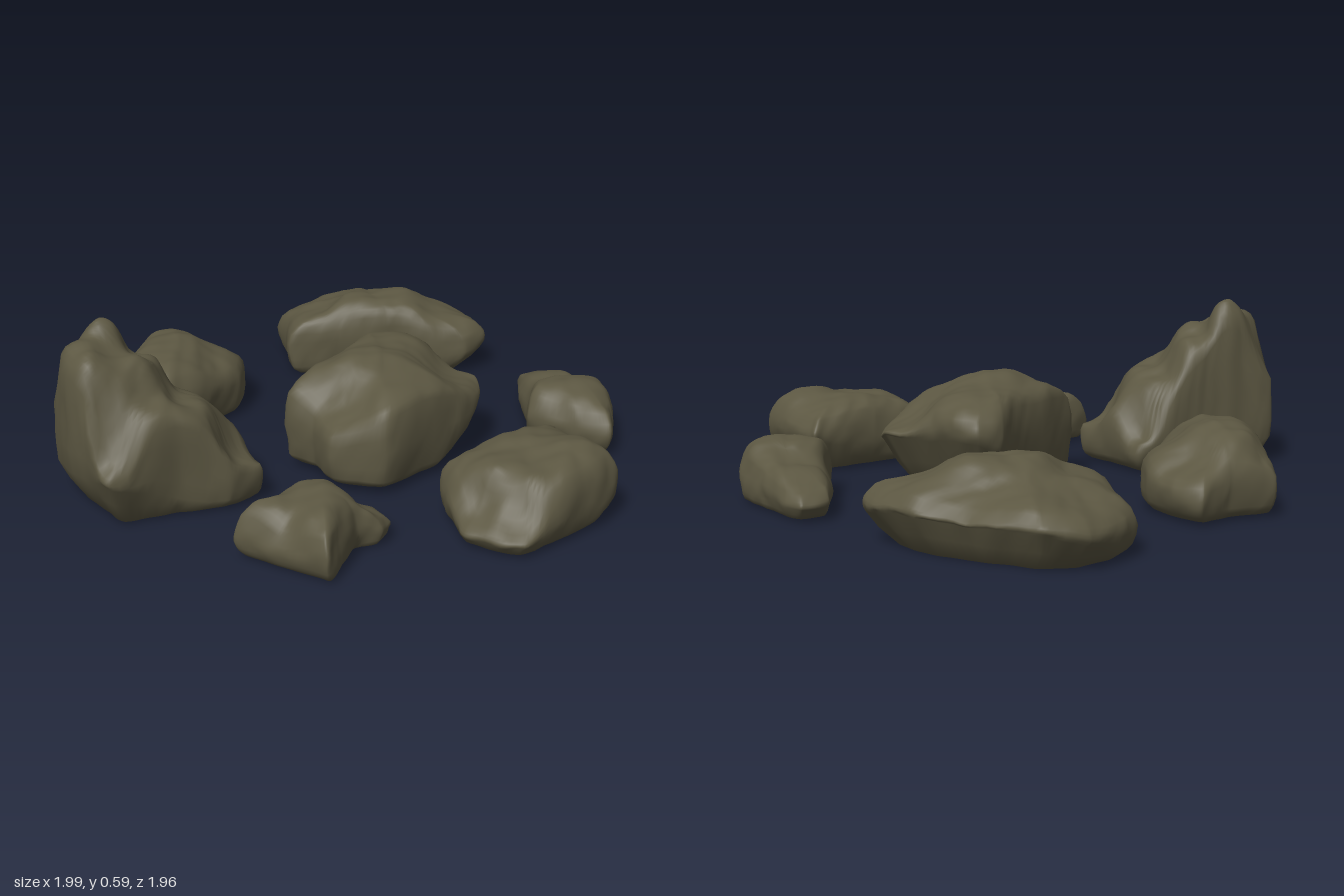
import * as THREE from 'three';

const SIDES = 120;

// Height at (x, z), blended from the crest points [x, z, height]
function crestHeight(crest, x, z) {
  let sum = 0, total = 0;
  for (const [px, pz, y] of crest) {
    const w = 1 / ((x - px) ** 2 + (z - pz) ** 2 + 0.0015) ** 1.6;
    sum += w * y;
    total += w;
  }
  return sum / total;
}

// Weathered unevenness, fading out towards the underside
function weather(p) {
  const { x, y, z } = p;
  const amount = 0.0075;
  const wave = (a, b, c, k) =>
    Math.sin(a * 17 + 2 * Math.sin(b * 13 + k)) * 0.4 + Math.sin(b * 29 + c * 23 + k) * 0.3
    + (Math.abs(Math.sin(c * 21 + a * 18 + k * 2)) - 0.6) * 0.5
    + Math.sin(a * 61 + 2 * Math.sin(c * 47 + k)) * Math.sin(b * 53 + k) * 0.3;
  p.x = THREE.MathUtils.clamp(x + amount * wave(y, z, x, 1), -1, 1);
  p.y = Math.max(0, y + amount * Math.min(1, y * 8) * wave(z, x, y, 3));
  p.z += amount * wave(x, y, z, 2);
}

// rim: outline [x, z], clockwise from above; shoulder: wall height as a share of
// the crest height; lean: how fast the underside rises along x from the middle
function makeRock(name, material, { rim, crest, shoulder, lean, base }) {
  const curve = new THREE.CatmullRomCurve3(
    rim.map(([x, z]) => new THREE.Vector3(x, 0, z)), true, 'catmullrom', 0.25);
  const outline = Array.from({ length: SIDES }, (_, i) => curve.getPoint(i / SIDES));
  const centre = new THREE.Box3().setFromPoints(outline).getCenter(new THREE.Vector3());
  const scaled = (p, s) => centre.clone().lerp(p, s);
  const rise = (p) => Math.max(0, (p.x - centre.x) * lean);
  const foot = (p) => 0.88 - 1.6 * rise(p);
  const wallBottom = (p) => base + 0.03 + rise(p);
  const wallTop = (p) => Math.max(wallBottom(p) + 0.02, shoulder * crestHeight(crest, p.x, p.z));

  // Loops across the underside, up the wall and over the crest
  const loops = [];
  for (const s of [0.001, 0.4, 0.8, 1]) loops.push((p) => scaled(p, s * foot(p)).setY(base));
  loops.push((p) => scaled(p, (1 + foot(p)) / 2).setY((base + wallBottom(p)) / 2));
  for (const t of [0, 0.25, 0.5, 0.75, 1]) {
    loops.push((p) => scaled(p, 1 - 0.03 * (2 * t - 1) ** 2)
      .setY(THREE.MathUtils.lerp(wallBottom(p), wallTop(p), t)));
  }
  for (let j = 1; j <= 16; j++) {
    const s = Math.max(0.001, 0.97 * (1 - j / 16));
    loops.push((p) => {
      const q = scaled(p, s);
      return q.setY(crestHeight(crest, q.x, q.z) * (1 - (1 - shoulder) * s ** 5));
    });
  }

  const positions = [], index = [];
  loops.forEach((loop, j) => outline.forEach((point, i) => {
    const p = loop(point);
    weather(p);
    positions.push(p.x, p.y, p.z);
    if (j === 0) return;
    const n = (i + 1) % SIDES, lo = (j - 1) * SIDES, up = j * SIDES;
    index.push(lo + n, lo + i, up + i, lo + n, up + i, up + n);
  }));
  const geometry = new THREE.BufferGeometry();
  geometry.setAttribute('position', new THREE.Float32BufferAttribute(positions, 3));
  geometry.setIndex(index);
  geometry.computeVertexNormals();
  const mesh = new THREE.Mesh(geometry, material);
  mesh.name = name;
  return mesh;
}

export function createModel() {
  const group = new THREE.Group();
  group.name = 'rocks';
  const stone = new THREE.MeshStandardMaterial({ color: 0x5c5742 });
  stone.name = 'mossy stone';
  const add = (name, shape) => group.add(makeRock(name, stone, shape));

  // Flat-topped rock in the middle, overhanging to its left
  add('centreRock', {
    rim: [[-0.25, -0.11], [0.1, -0.13], [0.28, -0.17], [0.37, -0.13], [0.38, -0.04], [0.35, 0.07], [0.36, 0.25],
      [0.27, 0.32], [0.1, 0.35], [-0.24, 0.31], [-0.33, 0.14], [-0.27, 0.02]],
    crest: [[-0.04, 0.06, 0.39], [0.2, -0.02, 0.36], [0.37, -0.06, 0.34], [0.28, 0.26, 0.25],
      [-0.1, 0.27, 0.34], [-0.3, 0.1, 0.24], [-0.1, -0.1, 0.35]],
    shoulder: 0.84, lean: 0.45, base: 0.025,
  });

  // Ring of rocks around it
  add('backRock', {
    rim: [[-0.05, -0.98], [0.09, -0.89], [0.21, -0.85], [0.2, -0.74], [0.13, -0.61], [0, -0.52], [-0.19, -0.51],
      [-0.37, -0.54], [-0.41, -0.67], [-0.31, -0.79], [-0.18, -0.89]],
    crest: [[-0.12, -0.74, 0.28], [-0.36, -0.6, 0.27], [-0.04, -0.83, 0.27], [0.15, -0.75, 0.17],
      [0, -0.55, 0.21], [-0.05, -0.96, 0.19]],
    shoulder: 0.72, lean: -0.4, base: 0.015,
  });
  add('frontRock', {
    rim: [[-0.22, 0.5], [0, 0.56], [0.23, 0.63], [0.22, 0.68], [0.1, 0.96], [-0.05, 0.97], [-0.36, 0.9],
      [-0.4, 0.71], [-0.32, 0.6]],
    crest: [[0, 0.62, 0.25], [0.03, 0.88, 0.265], [-0.22, 0.7, 0.24], [-0.38, 0.72, 0.1], [-0.36, 0.88, 0.09],
      [0.2, 0.7, 0.23], [-0.12, 0.92, 0.265], [-0.2, 0.84, 0.23]],
    shoulder: 0.72, lean: 0.25, base: 0.012,
  });
  add('backLeftRock', {
    rim: [[0.39, -0.61], [0.5, -0.72], [0.58, -0.82], [0.68, -0.84], [0.85, -0.83], [0.95, -0.73], [0.98, -0.5],
      [1, -0.32], [0.97, -0.17], [0.9, -0.07], [0.8, -0.09], [0.72, -0.18], [0.63, -0.33], [0.51, -0.47]],
    crest: [[0.66, -0.48, 0.28], [0.75, -0.4, 0.28], [0.86, -0.18, 0.22], [0.72, -0.75, 0.18],
      [0.94, -0.5, 0.2], [0.6, -0.63, 0.22]],
    shoulder: 0.7, lean: 0.3, base: 0.005,
  });
  add('frontLeftRock', {
    rim: [[0.74, 0.18], [0.83, 0.21], [0.83, 0.29], [0.75, 0.45], [0.68, 0.6], [0.58, 0.67], [0.46, 0.73],
      [0.42, 0.62], [0.41, 0.43], [0.5, 0.37], [0.62, 0.27]],
    crest: [[0.5, 0.62, 0.2], [0.55, 0.5, 0.21], [0.68, 0.38, 0.15], [0.78, 0.24, 0.12]],
    shoulder: 0.6, lean: 0, base: 0.012,
  });
  add('tallRock', {
    rim: [[-0.83, -0.61], [-0.72, -0.54], [-0.57, -0.44], [-0.42, -0.36], [-0.37, -0.3], [-0.45, -0.12], [-0.5, 0],
      [-0.62, -0.03], [-0.75, -0.12], [-0.99, -0.21], [-0.96, -0.34], [-0.93, -0.44]],
    crest: [[-0.71, -0.48, 0.62], [-0.85, -0.47, 0.58], [-0.9, -0.4, 0.57], [-0.75, -0.34, 0.51],
      [-0.64, -0.38, 0.46], [-0.52, -0.3, 0.32], [-0.62, -0.2, 0.35], [-0.78, -0.19, 0.38], [-0.97, -0.21, 0.24],
      [-0.53, -0.05, 0.15], [-0.4, -0.29, 0.12], [-0.83, -0.61, 0.36]],
    shoulder: 0.84, lean: -0.4, base: 0.012,
  });
  add('smallRock', {
    rim: [[-0.86, 0.18], [-0.75, 0.21], [-0.62, 0.19], [-0.5, 0.24], [-0.47, 0.34], [-0.43, 0.4], [-0.46, 0.48],
      [-0.53, 0.5], [-0.61, 0.46], [-0.74, 0.5], [-0.84, 0.53], [-0.85, 0.34]],
    crest: [[-0.77, 0.27, 0.2], [-0.76, 0.42, 0.2], [-0.63, 0.33, 0.2], [-0.47, 0.42, 0.1], [-0.86, 0.35, 0.14]],
    shoulder: 0.62, lean: 0, base: 0.012,
  });
  return group;
}
